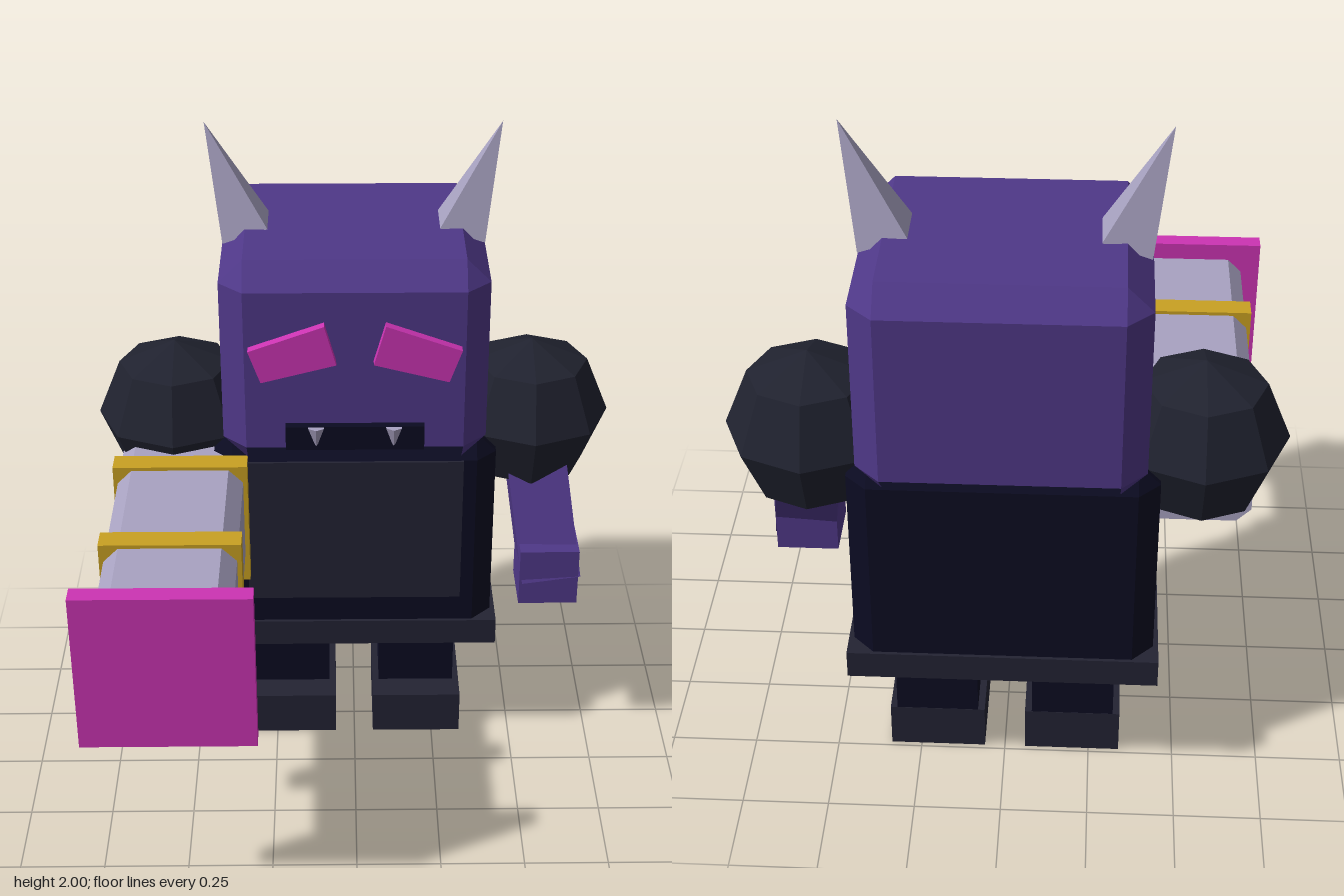
import * as THREE from 'three';

const mat = (name, color, side = THREE.FrontSide) => {
  const m = new THREE.MeshStandardMaterial({ color, side, flatShading: true });
  m.name = name;
  return m;
};

// Box with all edges chamfered; openBottom keeps only the four lower corner facets.
function chamferBox(w, h, d, c, openBottom = false) {
  const x = w / 2, z = d / 2, y = h / 2, pos = [];
  const loop = (level, inset) => {
    const pts = [];
    [[1, -1], [-1, -1], [-1, 1], [1, 1]].forEach(([sx, sz], i) => {
      const side = [sx * (x - inset), level, sz * (z - c)];
      const end = [sx * (x - c), level, sz * (z - inset)];
      pts.push(...(i % 2 ? [end, side] : [side, end]));
    });
    return pts;
  };
  const loops = [loop(-y, c), loop(-y + c, 0), loop(y - c, 0), loop(y, c)];
  for (let r = 0; r < 3; r++) {
    for (let i = 0; i < 8; i++) {
      if (r === 0 && openBottom && i % 2) continue;
      const j = (i + 1) % 8, lo = loops[r], hi = loops[r + 1];
      if (r > 0 || i % 2) pos.push(...lo[i], ...lo[j], ...hi[j]);
      if (r < 2) pos.push(...lo[i], ...hi[j], ...hi[i]);
      // the collapsed corner of the top and bottom loops is one triangle
      if (r === 0) pos.push(...lo[i], ...hi[j], ...hi[i]);
      if (r === 2) pos.push(...lo[i], ...hi[j], ...hi[i]);
    }
    if (r === 2) {
      const lo = loops[2];
      for (let i = 0; i < 8; i += 2) pos.push(...lo[i], ...lo[i + 1], ...loops[3][i]);
    }
  }
  const t = loops[3], b = loops[0];
  pos.push(...t[0], ...t[2], ...t[4], ...t[0], ...t[4], ...t[6]);
  if (!openBottom) pos.push(...b[0], ...b[4], ...b[2], ...b[0], ...b[6], ...b[4]);
  const g = new THREE.BufferGeometry();
  g.setAttribute('position', new THREE.Float32BufferAttribute(pos, 3));
  g.computeVertexNormals();
  return g;
}

// Box without its underside
function openBox(w, h, d) {
  const g = new THREE.BoxGeometry(w, h, d);
  const idx = Array.from(g.index.array);
  idx.splice(18, 6);
  g.setIndex(idx);
  g.clearGroups();
  return g;
}

function polygon(points, depth) {
  const shape = new THREE.Shape(points.map(([x, y]) => new THREE.Vector2(x, y)));
  return new THREE.ExtrudeGeometry(shape, { depth, bevelEnabled: false });
}

export function createModel() {
  const model = new THREE.Group();
  model.name = 'hornedBrawler';
  const purple = mat('purple', 0x4f3888, THREE.DoubleSide);
  const navy = mat('navy', 0x0b0b21);
  const slate = mat('slate', 0x232333, THREE.DoubleSide);
  const charcoal = mat('charcoal', 0x20222f);
  const magenta = mat('magenta', 0xcc34b3);
  const bone = mat('bone', 0xa8a2c1);
  const gold = mat('gold', 0xc9a122);

  const add = (name, geo, material, x, y, z) => {
    const m = new THREE.Mesh(geo, material);
    m.name = name;
    m.position.set(x, y, z);
    model.add(m);
    return m;
  };
  const box = (name, material, w, h, d, x, y, z) =>
    add(name, new THREE.BoxGeometry(w, h, d), material, x, y, z);
  // Square limb running between two points
  const limb = (name, from, to, w, d) => {
    const a = new THREE.Vector3(...from), b = new THREE.Vector3(...to);
    const m = box(name, purple, w, a.distanceTo(b), d, 0, 0, 0);
    m.position.copy(a).add(b).multiplyScalar(0.5);
    m.quaternion.setFromUnitVectors(new THREE.Vector3(0, 1, 0), a.sub(b).normalize());
    return m;
  };

  // Head and body
  add('head', chamferBox(0.77, 0.63, 0.71, 0.07, true), purple, 0, 1.385, -0.365);
  add('torso', chamferBox(0.85, 0.69, 0.52, 0.06), navy, 0, 0.755, -0.36);
  box('chestPanel', slate, 0.65, 0.48, 0.009, 0, 0.8, -0.096);
  add('belt', openBox(0.88, 0.085, 0.54), slate, 0, 0.43, -0.36);

  // Mouth
  box('mouth', navy, 0.4, 0.075, 0.04, 0, 1.182, -0.005);

  const shoulder = new THREE.LatheGeometry(
    [[0, -0.17], [0.17, -0.17], [0.24, 0], [0.17, 0.17], [0, 0.24]]
      .map(([r, y]) => new THREE.Vector2(r, y)), 8);

  for (const s of [-1, 1]) {
    const side = s > 0 ? 'left' : 'right';
    // Legs and hollow feet
    box(side + 'Leg', navy, 0.24, 0.41, 0.245, s * 0.2, 0.255, -0.362);
    add(side + 'Foot', openBox(0.28, 0.14, 0.335), slate, s * 0.2, 0.07, -0.318);

    // Shoulder
    add(side + 'Shoulder', shoulder, charcoal, s * 0.54, 1.074, -0.365);

    // Horn
    const horn = new THREE.ConeGeometry(0.098, 0.34, 4);
    horn.rotateY(Math.PI / 4);
    add(side + 'Horn', horn, bone, s * 0.37, 1.84, -0.363).rotation.z = -s * 0.33;

    // Slanted eye
    const eye = [[0.087, 1.54], [0.053, 1.42], [0.268, 1.365], [0.303, 1.463]]
      .map(([x, y]) => [s * x, y]);
    add(side + 'Eye', polygon(eye, 0.04), magenta, 0, 0, -0.02);

    // Fang
    const fang = new THREE.ConeGeometry(0.026, 0.07, 6);
    fang.rotateX(Math.PI);
    add(side + 'Fang', fang, bone, s * 0.112, 1.184, 0.012);
  }

  // Arms
  limb('leftArm', [0.54, 1.07, -0.365], [0.605, 0.6, -0.14], 0.18, 0.16);
  add('leftHand', openBox(0.18, 0.185, 0.185), purple, 0.595, 0.642, -0.163);
  limb('rightArm', [-0.54, 1.07, -0.365], [-0.52, 0.84, -0.21], 0.18, 0.16);

  // Hammer cannon held on the right arm
  const w = 0.185, h = 0.165, c = 0.042;
  const barrel = [[w, -h + c], [w, h - c], [w - c, h], [c - w, h],
    [-w, h - c], [-w, c - h], [c - w, -h], [w - c, -h]];
  add('barrel', polygon(barrel, 0.96), bone, -0.515, 0.88, -0.28);
  for (const z of [-0.077, 0.351])
    box('barrelBand', gold, 0.395, 0.395, 0.07, -0.515, 0.858, z);
  box('hammerFace', magenta, 0.485, 0.48, 0.055, -0.515, 0.858, 0.69);

  return model;
}
